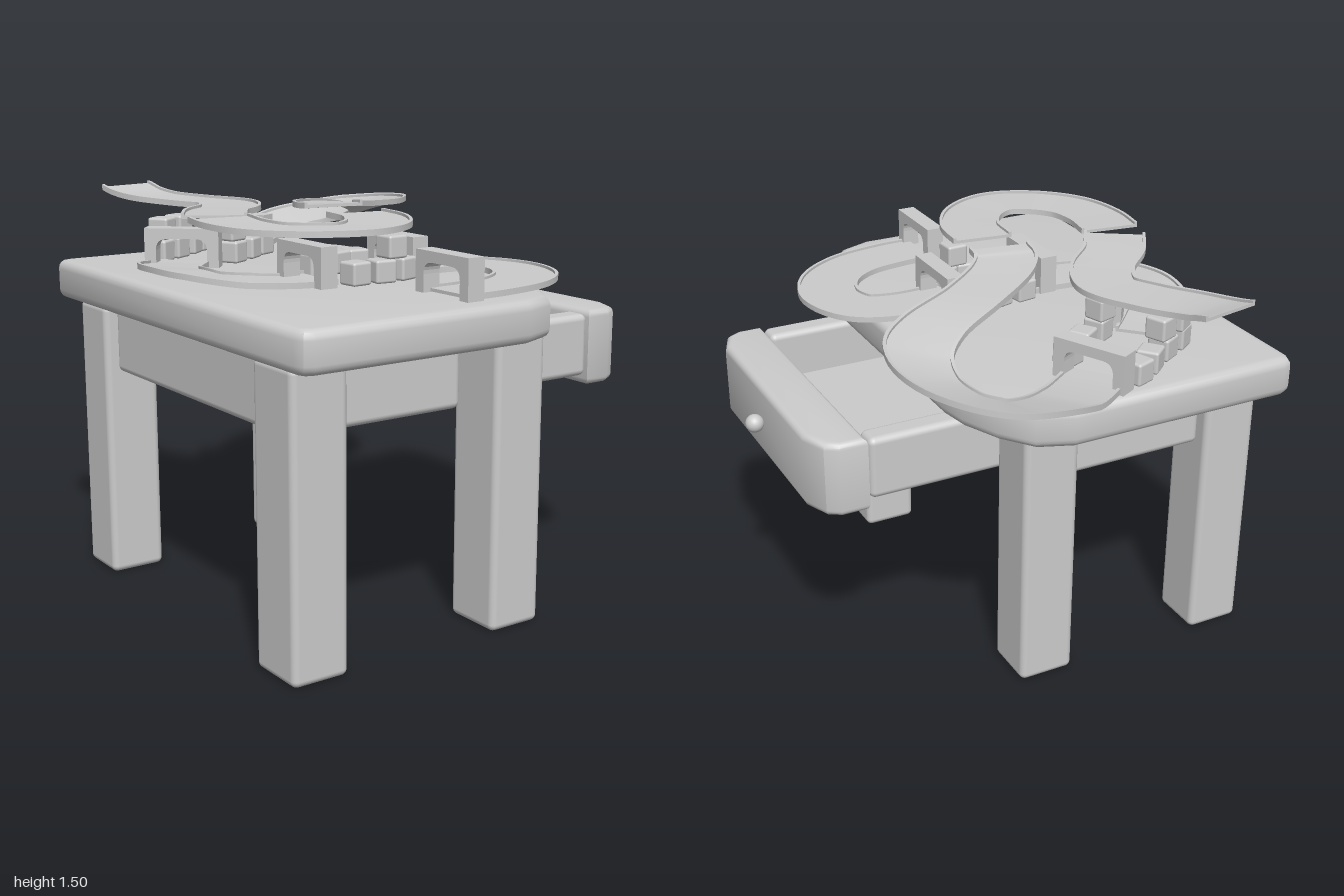
import * as THREE from 'three';
import { toCreasedNormals } from 'three/addons/utils/BufferGeometryUtils.js';
import { RoundedBoxGeometry } from 'three/addons/geometries/RoundedBoxGeometry.js';

const grey = new THREE.MeshStandardMaterial({ color: 0xcccccc });
const TOP = 1.22; // height of the table surface

function add(parent, name, geometry) {
  const mesh = new THREE.Mesh(geometry, grey);
  mesh.name = name;
  parent.add(mesh);
  return mesh;
}

// Rounded box given by its extents on each axis
function box(parent, name, [x0, x1], [y0, y1], [z0, z1], r = 0.025) {
  const mesh = add(parent, name, new RoundedBoxGeometry(x1 - x0, y1 - y0, z1 - z0, 3, r));
  mesh.position.set((x0 + x1) / 2, (y0 + y1) / 2, (z0 + z1) / 2);
  return mesh;
}

// Horizontal slab with rounded rims from an outline of [x, z] points
function slab(parent, name, outline, y0, y1, bevel) {
  const shape = new THREE.Shape(outline.map(([x, z]) => new THREE.Vector2(x, -z)));
  const geo = new THREE.ExtrudeGeometry(shape, {
    depth: y1 - y0 - 2 * bevel, bevelEnabled: true, bevelSize: bevel,
    bevelThickness: bevel, bevelOffset: -bevel, bevelSegments: 4,
  });
  geo.rotateX(-Math.PI / 2).translate(0, y0 + bevel, 0);
  return add(parent, name, toCreasedNormals(geo, 0.6));
}

// Track ribbon with a raised kerb on both sides, swept along points [x, y, z, bank].
// Bank is the rise of the left edge.
function track(parent, name, points) {
  const W = 0.12, H = 0.022, T = 0.012, C = 0.012;
  const section = [[-W, 0], [W, 0], [W, H], [W - C, H], [W - C, T], [C - W, T], [C - W, H], [-W, H]];
  const path = new THREE.CatmullRomCurve3(points.map(p => new THREE.Vector3(p[0], p[1], p[2])), false, 'centripetal');
  const steps = 64, n = section.length, pos = [], index = [];
  for (let i = 0; i <= steps; i++) {
    const t = i / steps;
    const p = path.getPoint(t), d = path.getTangent(t);
    const len = Math.hypot(d.x, d.z), lx = d.z / len, lz = -d.x / len;
    const f = t * (points.length - 1), k = Math.min(Math.floor(f), points.length - 2);
    const bank = THREE.MathUtils.lerp(points[k][3] || 0, points[k + 1][3] || 0, f - k);
    for (const [o, h] of section) pos.push(p.x + lx * o, p.y + h + bank * o / W, p.z + lz * o);
  }
  for (let i = 0; i < steps; i++) {
    for (let j = 0; j < n; j++) {
      const a = i * n + j, b = i * n + (j + 1) % n;
      index.push(a, b, b + n, a, b + n, a + n);
    }
  }
  const caps = THREE.ShapeUtils.triangulateShape(section.map(s => new THREE.Vector2(...s)), []);
  for (const [a, b, c] of caps) {
    index.push(a, c, b);
    index.push(steps * n + a, steps * n + b, steps * n + c);
  }
  const geo = new THREE.BufferGeometry();
  geo.setAttribute('position', new THREE.Float32BufferAttribute(pos, 3));
  geo.setIndex(index);
  return add(parent, name, toCreasedNormals(geo, 0.6));
}

// Gate with a round-cornered opening; angle turns its width away from the x axis
function gate(parent, x, z, angle) {
  const w = 0.145, h = 0.15, iw = 0.1, ih = 0.11, r = 0.045, depth = 0.07;
  const s = new THREE.Shape();
  s.moveTo(-w, 0).lineTo(-iw, 0).lineTo(-iw, ih - r);
  s.quadraticCurveTo(-iw, ih, r - iw, ih).lineTo(iw - r, ih);
  s.quadraticCurveTo(iw, ih, iw, ih - r).lineTo(iw, 0);
  s.lineTo(w, 0).lineTo(w, h).lineTo(-w, h);
  const geo = new THREE.ExtrudeGeometry(s, { depth, bevelEnabled: false, curveSegments: 6 });
  const mesh = add(parent, 'gate', geo.translate(0, 0, -depth / 2));
  mesh.position.set(x, TOP, z);
  mesh.rotation.y = angle;
}

export function createModel() {
  const model = new THREE.Group();
  const table = new THREE.Group(), drawer = new THREE.Group(), course = new THREE.Group();
  table.name = 'table'; drawer.name = 'drawer'; course.name = 'raceCourse';
  model.add(table, drawer, course);

  // Table top, square on the left and rounded on the right
  slab(table, 'tableTop', [
    [-0.9, 0.95], [-0.885, 0.985], [-0.85, 1], [0.02, 1], [0.15, 0.95], [0.24, 0.81], [0.3, 0.68], [0.32, 0.55],
    [0.32, -0.4], [0.3, -0.52], [0.24, -0.66], [0.15, -0.78], [0.02, -0.83], [-0.85, -0.83], [-0.885, -0.815], [-0.9, -0.78],
  ], 1.07, TOP, 0.035);

  // Legs and the rails between them
  const front = [0.65, 0.89], back = [-0.66, -0.44], legY = [0, 1.08];
  box(table, 'frontLeftLeg', [-0.87, -0.65], legY, front);
  box(table, 'frontRightLeg', [-0.03, 0.19], legY, front);
  box(table, 'backLeftLeg', [-0.87, -0.65], legY, back);
  box(table, 'backRightLeg', [-0.1, 0.12], legY, back);
  const railY = [0.82, 1.07];
  box(table, 'frontRail', [-0.66, -0.1], railY, [0.67, 0.78]);
  box(table, 'backRail', [-0.66, -0.09], railY, [-0.6, -0.49]);
  box(table, 'sideRail', [-0.82, -0.71], railY, [-0.45, 0.66]);

  // Open drawer
  slab(drawer, 'drawerFront', [
    [0.625, 0.65], [0.73, 0.65], [0.78, 0.62], [0.82, 0.52],
    [0.82, -0.31], [0.78, -0.41], [0.73, -0.44], [0.625, -0.44],
  ], 0.78, 1.07, 0.025);
  for (const [z0, z1] of [[0.55, 0.65], [-0.44, -0.34]]) {
    box(drawer, 'drawerSide', [-0.02, 0.62], [0.82, 1.06], [z0, z1]);
  }
  box(drawer, 'drawerFloor', [-0.06, 0.64], [0.84, 0.87], [-0.36, 0.57], 0.002);
  add(drawer, 'drawerKnob', new THREE.SphereGeometry(0.035, 20, 14)).position.set(0.86, 0.94, 0.09);

  // Ground level tracks
  track(course, 'lowerRightTrack', [
    [-0.14, 1.222, 0.76], [0, 1.222, 0.755], [0.2, 1.222, 0.71], [0.34, 1.222, 0.6], [0.395, 1.222, 0.44],
    [0.34, 1.222, 0.29], [0.2, 1.222, 0.235], [-0.04, 1.222, 0.235],
  ]);
  track(course, 'lowerLeftTrack', [
    [-0.33, 1.222, 0.24], [-0.45, 1.222, 0.24], [-0.6, 1.23, 0.19], [-0.71, 1.24, 0.06, 0.012], [-0.735, 1.245, -0.07, 0.012],
    [-0.7, 1.235, -0.22, 0.01], [-0.61, 1.225, -0.33], [-0.52, 1.222, -0.42],
  ].map(([x, y, z, b = 0]) => [x, y, z, b]));

  // Climbing loop that overhangs the table
  track(course, 'climbingTrack', [
    [-0.18, 1.222, -0.64], [-0.09, 1.225, -0.71], [0.03, 1.24, -0.8], [0.17, 1.275, -0.87, 0.02], [0.3, 1.3, -0.88, 0.03],
    [0.42, 1.325, -0.8, 0.04], [0.48, 1.35, -0.65, 0.04], [0.45, 1.375, -0.49, 0.03], [0.34, 1.395, -0.37, 0.015],
    [0.12, 1.425, -0.25], [-0.06, 1.445, -0.12], [-0.135, 1.455, -0.02], [-0.15, 1.462, 0.065],
  ]);

  // Upper tracks, with jumps between them
  track(course, 'upperTurnTrack', [
    [-0.16, 1.445, 0.22], [-0.18, 1.443, 0.37], [-0.27, 1.44, 0.51], [-0.4, 1.44, 0.57], [-0.54, 1.44, 0.52],
    [-0.65, 1.44, 0.4], [-0.68, 1.443, 0.24], [-0.66, 1.447, 0.09],
  ]);
  track(course, 'upperRampTrack', [
    [-0.64, 1.447, 0.02], [-0.55, 1.443, -0.12], [-0.42, 1.438, -0.25], [-0.355, 1.436, -0.4], [-0.42, 1.438, -0.56],
    [-0.5, 1.447, -0.71], [-0.53, 1.46, -0.8], [-0.545, 1.48, -0.88],
  ]);

  // Gates at the ends of the ground tracks
  gate(course, -0.14, 0.755, Math.PI / 2);
  gate(course, 0.025, 0.23, Math.PI / 2);
  gate(course, -0.4, 0.26, Math.PI / 2);
  gate(course, -0.565, -0.36, -0.72);
  gate(course, -0.135, -0.67, -1.1);

  // Toy blocks beside the jumps: [x, z, turn, level]
  const blocks = [
    [-0.28, 0.115, 0.15, 0], [-0.17, 0.105, 0.25, 0], [-0.08, 0.1, -0.1, 0],
    [-0.27, 0.38, 0.1, 0], [-0.16, 0.385, -0.1, 0], [-0.06, 0.37, 0.3, 0], [-0.11, 0.38, 0.05, 1],
    [-0.57, -0.54, 0.6, 0], [-0.47, -0.6, 0.5, 0], [-0.37, -0.67, 0.7, 0], [-0.28, -0.73, 0.35, 0],
    [-0.14, -0.49, 0.4, 0], [-0.24, -0.42, 0.6, 0], [-0.35, -0.35, 0.5, 0],
    [-0.55, -0.56, 0.6, 1], [-0.45, -0.61, 0.4, 1], [-0.35, -0.36, 0.3, 1],
  ];
  for (const [x, z, turn, level] of blocks) {
    const s = 0.0425, y = TOP + level * 2 * s;
    box(course, 'toyBlock', [x - s, x + s], [y, y + 2 * s], [z - s, z + s], 0.01).rotation.y = turn;
  }
  return model;
}
